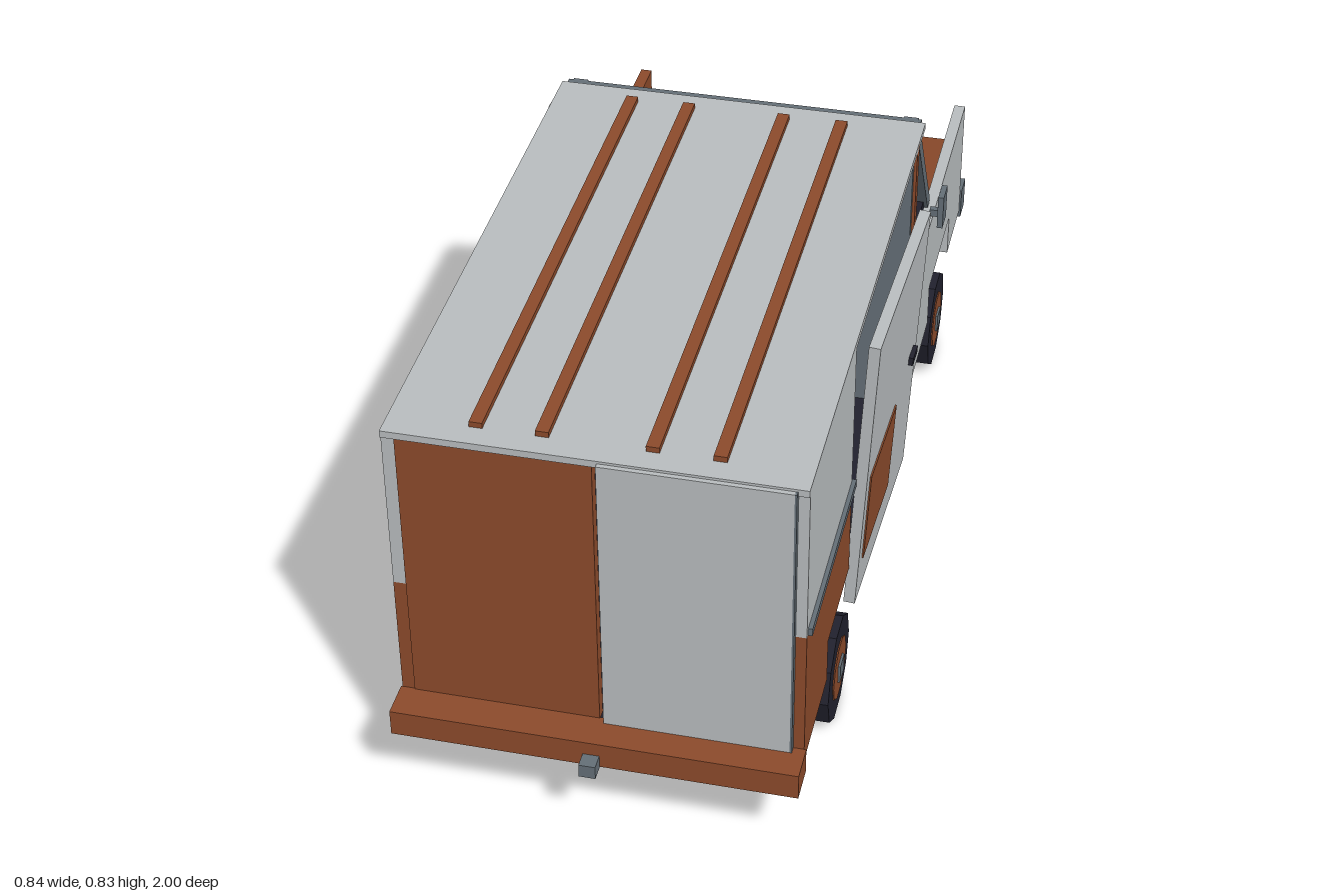
import * as THREE from 'three';

const mat = (name, color) => {
  const m = new THREE.MeshStandardMaterial({ color });
  m.name = name;
  return m;
};

export function createModel() {
  const grey = mat('pale grey paint', 0xb8bcbe);
  const rust = mat('rust', 0x8b4a2b);
  const trim = mat('steel trim', 0x646e76);
  const dark = mat('dark rubber', 0x21212d);
  const tan = mat('tan cloth', 0x8b6b47);

  const van = new THREE.Group();
  van.name = 'van';
  const add = (name, geo, m, parent = van) => {
    const mesh = new THREE.Mesh(geo, m);
    mesh.name = name;
    parent.add(mesh);
    return mesh;
  };
  // Box given by its lower and upper limits on each axis
  const box = (name, m, x0, x1, y0, y1, z0, z1, parent = van) => {
    const b = add(name, new THREE.BoxGeometry(x1 - x0, y1 - y0, z1 - z0), m, parent);
    b.position.set((x0 + x1) / 2, (y0 + y1) / 2, (z0 + z1) / 2);
    return b;
  };
  // Plate outlined in (z, y) and extruded from x0 to x1
  const plate = (name, m, x0, x1, pts) => {
    const shape = new THREE.Shape(pts.map(p => new THREE.Vector2(p[0], p[1])));
    const g = new THREE.ExtrudeGeometry(shape, { depth: x1 - x0, bevelEnabled: false });
    g.rotateY(-Math.PI / 2).translate(x1, 0, 0);
    return add(name, g, m);
  };
  // Square bar between two points
  const bar = (name, m, a, b, w, d) => {
    const from = new THREE.Vector3(...a), to = new THREE.Vector3(...b);
    const mesh = add(name, new THREE.BoxGeometry(w, from.distanceTo(to), d), m);
    mesh.position.copy(from).add(to).multiplyScalar(0.5);
    mesh.quaternion.setFromUnitVectors(new THREE.Vector3(0, 1, 0), to.sub(from).normalize());
    return mesh;
  };

  const L = -0.387, R = 0.366, T = 0.024;

  // Floor and bumpers
  box('floor', dark, -0.36, 0.34, 0.163, 0.195, -0.92, 0.88);
  box('rearBumper', rust, -0.39, 0.37, 0.17, 0.224, 0.9, 0.97);
  box('towHitch', trim, -0.027, 0.004, 0.168, 0.196, 0.96, 1);
  box('frontBumper', trim, -0.39, 0.37, 0.18, 0.25, -1, -0.945);

  // Front fenders with square wheel openings
  const fender = [[-0.945, 0.195], [-0.77, 0.195], [-0.77, 0.29], [-0.49, 0.29],
    [-0.49, 0.195], [-0.2, 0.195], [-0.2, 0.477], [-0.945, 0.477]];
  plate('rightFender', rust, L, L + T, fender);
  plate('leftFender', grey, R - T, R, fender);

  // Rear quarters, closed on one side and cut for the sliding door on the other
  const arch = [[0.68, 0.29], [0.68, 0.195], [0.9, 0.195]];
  plate('rightLowerWall', rust, L, L + T,
    [[-0.2, 0.195], [0.47, 0.195], [0.47, 0.29], ...arch, [0.9, 0.477], [-0.2, 0.477]]);
  box('rightUpperWall', grey, L, L + T, 0.477, 0.815, -0.2, 0.9);
  box('rightRustPatch', rust, L - 0.005, L, 0.38, 0.61, 0.05, 0.4);
  box('rightDoorPillar', grey, L - 0.004, L + T, 0.34, 0.815, -0.222, -0.2);
  plate('leftLowerWall', rust, R - T, R, [[0.47, 0.29], ...arch, [0.9, 0.49], [0.47, 0.49]]);
  box('leftUpperWall', grey, R - T, R, 0.49, 0.815, 0.47, 0.9);
  box('leftDoorRail', trim, R - 0.004, R + 0.008, 0.488, 0.504, 0.465, 0.89);
  box('leftDoorPillar', rust, R - 0.026, R, 0.195, 0.815, -0.225, -0.2);
  box('partition', trim, 0.09, R - 0.006, 0.195, 0.81, -0.2, -0.188);

  // Roof with four rails
  box('roof', grey, L, R, 0.808, 0.822, -0.295, 0.905);
  box('windscreenHeader', trim, L + 0.01, R - 0.01, 0.798, 0.82, -0.31, -0.294);
  for (const x of [-0.228, -0.11, 0.085, 0.203])
    box('roofRail', rust, x - 0.012, x + 0.012, 0.82, 0.833, -0.25, 0.86);

  // Rear doors
  box('rearRightDoor', rust, L + T, -0.012, 0.22, 0.808, 0.88, 0.902);
  box('rearLeftDoor', grey, -0.002, R - T, 0.22, 0.817, 0.888, 0.914);
  box('rearDoorEdge', trim, R - T, R - T + 0.004, 0.22, 0.817, 0.899, 0.914);

  // Open sliding door, leaning outwards
  const door = new THREE.Group();
  door.name = 'slidingDoor';
  box('doorPanel', grey, -0.011, 0.011, -0.305, 0.305, -0.232, 0.232, door);
  box('doorRustPatch', rust, -0.014, 0.014, -0.215, -0.015, -0.03, 0.2, door);
  box('doorHandle', dark, 0.011, 0.02, -0.006, 0.012, -0.195, -0.15, door);
  door.position.set(0.391, 0.505, 0.233);
  door.rotation.set(0, -0.035, -0.05);
  van.add(door);

  // Bonnet, grille and headlights
  plate('bonnet', rust, L + T, R - T,
    [[-0.945, 0.365], [-0.54, 0.46], [-0.54, 0.48], [-0.945, 0.385]]);
  box('grille', dark, L + T, R - T, 0.195, 0.37, -0.945, -0.925);
  for (const x of [-0.312, 0.288])
    box('headlight', trim, x - 0.037, x + 0.037, 0.285, 0.35, -0.951, -0.944);

  // Windscreen frame
  for (const x of [-0.352, 0.335])
    bar('windscreenPillar', trim, [x, 0.815, -0.3], [x, 0.478, -0.53], 0.03, 0.026);
  box('windscreenSill', trim, L + T, R - T, 0.472, 0.486, -0.548, -0.535);

  // Mirrors
  box('rightMirrorArm', trim, -0.405, -0.38, 0.5, 0.514, -0.487, -0.473);
  box('rightMirror', dark, -0.418, -0.404, 0.47, 0.546, -0.505, -0.453);
  box('leftMirrorArm', trim, 0.36, 0.383, 0.484, 0.5, -0.487, -0.473);
  box('leftMirror', trim, 0.38, 0.392, 0.472, 0.548, -0.5, -0.45);

  // Cab interior
  box('dashboard', dark, L + T, R - T, 0.4, 0.5, -0.535, -0.42);
  box('driverSeat', tan, -0.265, -0.09, 0.195, 0.33, -0.41, -0.24);
  box('passengerSeat', rust, 0.07, 0.235, 0.195, 0.34, -0.41, -0.23);
  box('passengerSeatBack', rust, 0.07, 0.235, 0.34, 0.502, -0.265, -0.228);
  box('cargoCrate', tan, -0.09, 0.1, 0.195, 0.405, -0.11, 0.08);
  bar('steeringColumn', dark, [-0.178, 0.47, -0.46], [-0.178, 0.525, -0.39], 0.018, 0.018);
  const steering = add('steeringWheel', new THREE.CylinderGeometry(0.07, 0.07, 0.012, 12), dark);
  steering.position.set(-0.178, 0.522, -0.388);
  steering.rotation.x = 0.6;

  // Wheels
  for (const side of [-1, 1]) for (const z of [0.55, -0.63]) {
    const wheel = new THREE.Group();
    wheel.name = 'wheel';
    const disc = (name, m, r, w, x) => {
      const g = new THREE.CylinderGeometry(r, r, w, 10).toNonIndexed();
      g.computeVertexNormals();
      g.rotateZ(Math.PI / 2).translate(x, 0, 0);
      add(name, g, m, wheel);
    };
    disc('tyre', dark, 0.108, 0.078, 0);
    disc('rim', rust, 0.064, 0.083, 0);
    box('hubCap', trim, side * 0.04 - 0.006, side * 0.04 + 0.006, -0.02, 0.02, -0.02, 0.02, wheel);
    wheel.position.set(side < 0 ? -0.348 : 0.327, 0.108, z);
    van.add(wheel);
  }
  return van;
}
